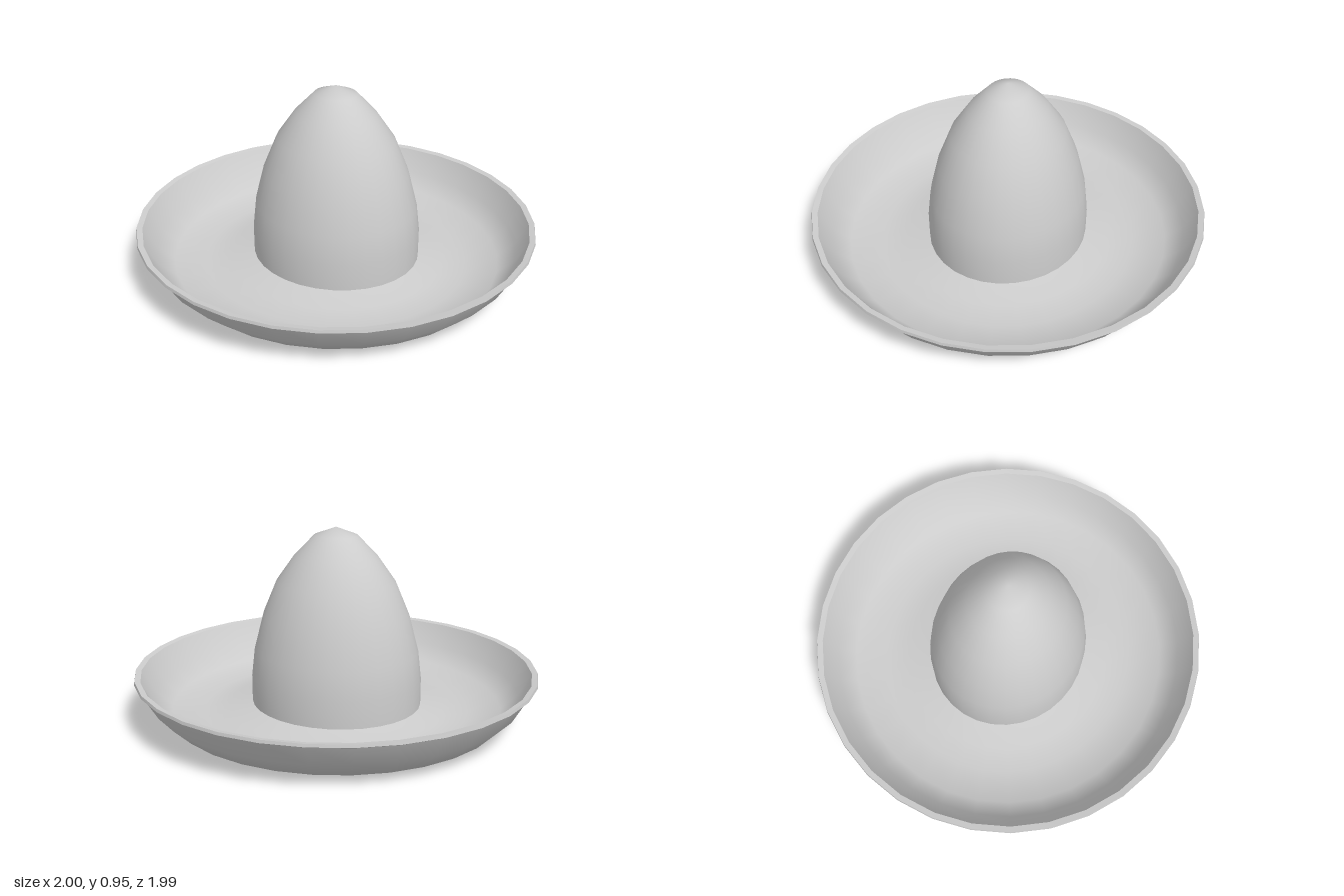
import * as THREE from 'three';
import { mergeVertices } from 'three/addons/utils/BufferGeometryUtils.js';

const SIDES = 32;

// Turn a profile of [radius, y], oval near the crown and rounder toward the rim
function turned(profile) {
  const lathe = new THREE.LatheGeometry(profile.map(([r, y]) => new THREE.Vector2(r, y)), SIDES);
  lathe.deleteAttribute('normal');
  lathe.deleteAttribute('uv');
  const p = lathe.attributes.position;
  for (let i = 0; i < p.count; i++) {
    const r = Math.hypot(p.getX(i), p.getZ(i));
    const t = THREE.MathUtils.clamp((r - 0.43) / 0.57, 0, 1);
    p.setZ(i, p.getZ(i) * (0.92 + 0.075 * Math.sqrt(t)));
  }
  const geometry = mergeVertices(lathe, 1e-4);
  geometry.computeVertexNormals();
  return geometry;
}

export function createModel() {
  const felt = new THREE.MeshStandardMaterial({ color: 0xcccccc });
  felt.name = 'felt grey';
  const hat = new THREE.Group();
  hat.name = 'hat';

  const add = (name, profile) => {
    const mesh = new THREE.Mesh(turned(profile), felt);
    mesh.name = name;
    hat.add(mesh);
  };

  // Tall crown, outside and hollow inside
  const crown = [[0.432, 0.06], [0.432, 0.2], [0.416, 0.34], [0.37, 0.515], [0.3, 0.68],
    [0.207, 0.81], [0.108, 0.91], [0, 0.95]];
  add('crown', crown);
  add('crownLining', crown.map(([r, y]) => [r * 0.965, y > 0.1 ? y - 0.018 : y]).reverse());

  // Dished brim, sloping up slightly to the crown
  add('brimUnderside', [[0.417, 0.045], [0.55, 0.016], [0.67, 0], [0.84, 0.035], [0.925, 0.12], [0.985, 0.225]]);
  add('brimTop', [[0.97, 0.242], [0.908, 0.13], [0.828, 0.054], [0.67, 0.026], [0.55, 0.04], [0.43, 0.067]]);

  // Rim edge and the lip of the head opening
  add('rimEdgeLower', [[0.985, 0.225], [1, 0.233]]);
  add('rimEdgeOuter', [[1, 0.233], [0.997, 0.247]]);
  add('rimEdgeTop', [[0.997, 0.247], [0.97, 0.242]]);
  add('openingLip', [[0.417, 0.06], [0.417, 0.045]]);

  return hat;
}
